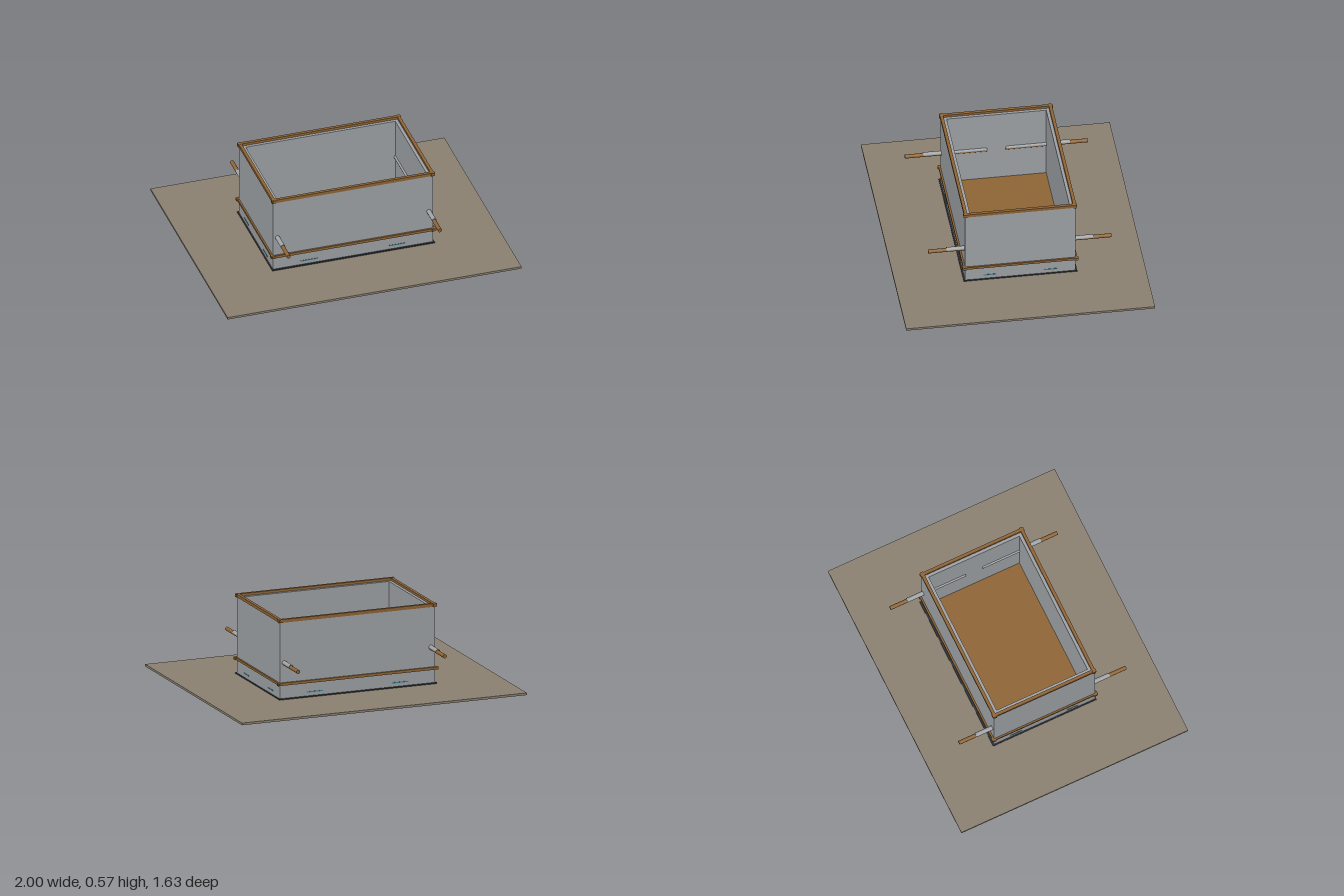
import * as THREE from 'three';

const mat = (color) => new THREE.MeshStandardMaterial({ color, side: THREE.DoubleSide });

export function createModel() {
  const model = new THREE.Group();
  const grey = mat(0xa0a4a8), wood = mat(0x8f6536), earth = mat(0x8b8172);
  const dark = mat(0x33363a), teal = mat(0x3f8088);

  const add = (name, geo, material, x, y, z, parent = model) => {
    const mesh = new THREE.Mesh(geo, material);
    mesh.name = name;
    mesh.position.set(x, y, z);
    parent.add(mesh);
    return mesh;
  };
  const box = (name, w, h, d, material, x, y, z, parent) =>
    add(name, new THREE.BoxGeometry(w, h, d), material, x, y, z, parent);

  // Four bars around the box; the bars along x and z overlap at the corners
  const frame = (name, ox, oz, t, over, y0, y1, material) => {
    const group = new THREE.Group();
    group.name = name;
    const h = y1 - y0, y = (y0 + y1) / 2;
    for (const s of [-1, 1]) {
      box(name + 'LongBar', 2 * (ox + over), h, t, material, 0, y, s * (oz - t / 2), group);
      box(name + 'ShortBar', t, h - 0.002, 2 * (oz + over), material, s * (ox - t / 2), y, 0, group);
    }
    model.add(group);
  };

  // Ground sheet and the floor inside the box
  box('groundSheet', 2, 0.015, 1.63, earth, 0, 0.0275, 0);
  box('floor', 1.03, 0.012, 0.67, wood, 0, 0.042, 0);

  // Walls stacked from eight plank courses with butted corners
  const W = 0.545, D = 0.362, T = 0.036, courses = 8, H = 0.555 / courses;
  const walls = new THREE.Group();
  walls.name = 'walls';
  model.add(walls);
  for (let i = 0; i < courses; i++) {
    const y = (i + 0.5) * H;
    for (const s of [-1, 1]) {
      box('longPlank', 2 * W, H, T, grey, 0, y, s * (D - T / 2), walls);
      box('sidePlank', T, H, 2 * (D - T), grey, s * (W - T / 2), y, 0, walls);
    }
  }

  // Base flashing, lower band and top rim
  frame('flashing', 0.553, 0.372, 0.02, 0, 0.035, 0.042, dark);
  frame('lowerBand', 0.556, 0.374, 0.022, 0.006, 0.13, 0.148, wood);
  frame('topRim', 0.55, 0.367, 0.021, 0.005, 0.55, 0.572, wood);

  // Narrow vent slots near the base
  for (const s of [-1, 1]) {
    for (const e of [-1, 1]) {
      box('frontVent', 0.115, 0.007, 0.004, teal, s * 0.3, 0.068, e * D);
      box('sideVent', 0.004, 0.007, 0.085, teal, e * W, 0.068, s * 0.2);
    }
  }

  // Carrying poles through the end walls, each with a half sleeve over its top
  for (const sx of [-1, 1]) {
    for (const sz of [-1, 1]) {
      const pole = add('pole', new THREE.CylinderGeometry(0.013, 0.013, 0.54, 16),
        wood, sx * 0.515, 0.276, sz * 0.33);
      pole.rotation.x = Math.PI / 2;
      const half = new THREE.Shape();
      half.absarc(0, 0, 0.0155, 0, Math.PI, false);
      half.absarc(0, 0, 0.0125, Math.PI, 0, true);
      const sleeve = new THREE.ExtrudeGeometry(half, { depth: 0.415, bevelEnabled: false, curveSegments: 12 });
      sleeve.translate(0, 0, -0.2075);
      add('poleSleeve', sleeve, grey, sx * 0.515, 0.279, sz * 0.2725);
    }
  }
  return model;
}
